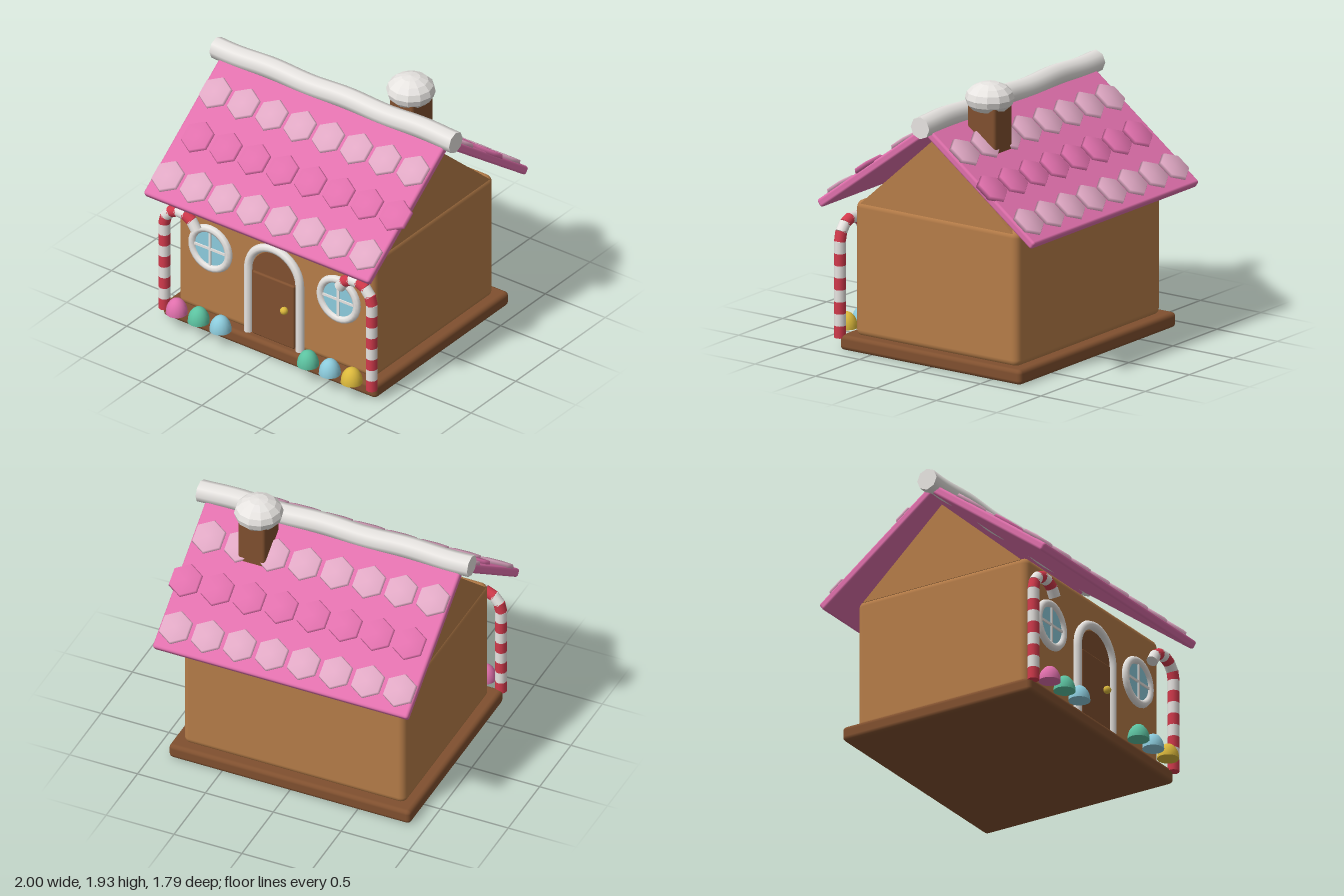
import * as THREE from 'three';
import { RoundedBoxGeometry } from 'three/addons/geometries/RoundedBoxGeometry.js';
import { mergeVertices } from 'three/addons/utils/BufferGeometryUtils.js';

const paint = (name, color) => {
  const m = new THREE.MeshStandardMaterial({ color });
  m.name = name;
  return m;
};

export function createModel() {
  const house = new THREE.Group();
  house.name = 'gingerbreadHouse';

  const gingerbread = paint('gingerbread', 0xb57c48);
  const chocolate = paint('chocolate', 0x80502f);
  const pink = paint('pink candy', 0xe070ac);
  const palePink = paint('pale pink candy', 0xe0a8c4);
  const icing = paint('white icing', 0xe8e5e2);
  const red = paint('red candy', 0xd23a4c);
  const green = paint('green candy', 0x5cc2a0);
  const blue = paint('blue candy', 0x8ccbdc);
  const gold = paint('gold candy', 0xdcb93c);

  const add = (name, geometry, material, x = 0, y = 0, z = 0, parent = house) => {
    const mesh = new THREE.Mesh(geometry, material);
    mesh.name = name;
    mesh.position.set(x, y, z);
    parent.add(mesh);
    return mesh;
  };
  const group = (name, x = 0, y = 0, z = 0) => {
    const g = new THREE.Group();
    g.name = name;
    g.position.set(x, y, z);
    house.add(g);
    return g;
  };

  // Base and walls
  add('base', new RoundedBoxGeometry(1.78, 0.105, 1.5, 2, 0.03), chocolate, 0, 0.0525, 0);
  add('walls', new RoundedBoxGeometry(1.64, 0.95, 1.35, 3, 0.05), gingerbread, 0, 0.565, 0);

  // Thin triangular gables at both ends
  const triangle = new THREE.Shape([[-0.63, 1.02], [0.63, 1.02], [0, 1.585]].map(p => new THREE.Vector2(...p)));
  const gableGeo = new THREE.ExtrudeGeometry(triangle, { depth: 0.05, bevelEnabled: false });
  gableGeo.translate(0, 0, -0.025).rotateY(Math.PI / 2);
  for (const s of [-1, 1]) add('gable', gableGeo, gingerbread, s * 0.79, 0, 0);

  // Roof slopes with three rows of hexagonal candy tiles
  let tileGeo = new THREE.CylinderGeometry(0.112, 0.123, 0.03, 6);
  tileGeo.deleteAttribute('normal');
  tileGeo.deleteAttribute('uv');
  tileGeo = mergeVertices(tileGeo);
  tileGeo.computeVertexNormals();
  const panelGeo = new RoundedBoxGeometry(1.88, 0.06, 1.1, 2, 0.018);
  for (const s of [-1, 1]) {
    const slope = group('roofSlope', 0, 1.33, s * 0.445);
    slope.rotation.x = s * 0.64;
    add('roofPanel', panelGeo, pink, 0, 0, 0, slope);
    [-0.28, 0.05, 0.38].forEach((z, row) => {
      for (let i = 0; i < 8; i++) {
        const x = -0.826 + i * 0.2357 + (row === 1 ? 0.05 : 0);
        add('roofTile', tileGeo, row === 1 ? pink : palePink, x, 0.038, s * z, slope);
      }
    });
  }

  // Wavy icing along the ridge
  const ridgeGeo = new THREE.CylinderGeometry(0.077, 0.077, 2, 8, 32);
  ridgeGeo.rotateZ(Math.PI / 2);
  const pos = ridgeGeo.attributes.position;
  for (let i = 0; i < pos.count; i++) {
    pos.setY(i, pos.getY(i) + 0.007 * Math.sin(pos.getX(i) * 10 + 0.6));
  }
  add('ridgeIcing', ridgeGeo, icing, 0, 1.7, 0);

  // Chimney with a snow cap
  add('chimney', new RoundedBoxGeometry(0.2, 0.6, 0.235, 2, 0.02), chocolate, 0.48, 1.49, -0.197);
  const capGeo = new THREE.SphereGeometry(0.167, 12, 8).toNonIndexed();
  capGeo.scale(1, 0.66, 1);
  capGeo.computeVertexNormals();
  add('chimneyCap', capGeo, icing, 0.478, 1.82, -0.197);

  // Arched door, icing trim and knob
  const arch = new THREE.Shape();
  arch.moveTo(-0.185, 0.105);
  arch.lineTo(0.185, 0.105);
  arch.lineTo(0.185, 0.6);
  arch.absarc(0, 0.6, 0.185, 0, Math.PI, false);
  add('doorArch', new THREE.ExtrudeGeometry(arch, { depth: 0.03, bevelEnabled: false, curveSegments: 16 }),
    chocolate, 0, 0, 0.66);
  add('door', new RoundedBoxGeometry(0.35, 0.495, 0.05, 2, 0.012), chocolate, 0, 0.352, 0.68);

  const trimPath = new THREE.CurvePath();
  const v = (x, y) => new THREE.Vector3(x, y, 0);
  const bend = [];
  for (let i = 0; i <= 12; i++) {
    const a = Math.PI * (1 - i / 12);
    bend.push(v(0.215 * Math.cos(a), 0.61 + 0.215 * Math.sin(a)));
  }
  trimPath.add(new THREE.LineCurve3(v(-0.215, 0.1), bend[0]));
  trimPath.add(new THREE.CatmullRomCurve3(bend));
  trimPath.add(new THREE.LineCurve3(bend[12], v(0.215, 0.1)));
  add('doorTrim', new THREE.TubeGeometry(trimPath, 48, 0.031, 8), icing, 0, 0, 0.69);
  add('doorKnob', new THREE.SphereGeometry(0.028, 12, 8), gold, 0.105, 0.395, 0.722);

  // Round windows with crossbars
  const glassGeo = new THREE.CylinderGeometry(0.15, 0.15, 0.02, 24);
  glassGeo.rotateX(Math.PI / 2);
  for (const s of [-1, 1]) {
    const win = group('window', s * 0.535, 0.63, 0.68);
    add('windowGlass', glassGeo, blue, 0, 0, 0, win);
    add('windowFrame', new THREE.TorusGeometry(0.152, 0.028, 8, 28), icing, 0, 0, 0.005, win);
    add('windowBar', new THREE.BoxGeometry(0.27, 0.018, 0.02), icing, 0, 0, 0.008, win);
    add('windowBar', new THREE.BoxGeometry(0.018, 0.27, 0.02), icing, 0, 0, 0.008, win);
  }

  // Striped candy canes hooking inwards
  const canePoints = [];
  for (let i = 0; i <= 8; i++) canePoints.push([0.865, 0.08 + i * 0.0838]);
  for (let i = 1; i <= 6; i++) {
    const a = (i / 6) * THREE.MathUtils.degToRad(160);
    canePoints.push([0.73 + 0.135 * Math.cos(a), 0.75 + 0.135 * Math.sin(a)]);
  }
  for (const s of [-1, 1]) {
    const cane = group('candyCane', 0, 0, 0.76);
    for (let i = 0; i < canePoints.length - 1; i++) {
      const a = v(s * canePoints[i][0], canePoints[i][1]);
      const b = v(s * canePoints[i + 1][0], canePoints[i + 1][1]);
      const length = a.distanceTo(b) + (i >= 8 ? 0.012 : 0);
      const stripe = add('caneStripe', new THREE.CylinderGeometry(0.04, 0.04, length, 12),
        i % 2 ? icing : red, (a.x + b.x) / 2, (a.y + b.y) / 2, 0, cane);
      stripe.quaternion.setFromUnitVectors(v(0, 1), b.sub(a).normalize());
    }
  }

  // Gumdrops along the front edge
  const dome = new THREE.SphereGeometry(0.075, 16, 8, 0, Math.PI * 2, 0, Math.PI / 2);
  dome.scale(1, 1.47, 1);
  const underside = new THREE.CircleGeometry(0.075, 16);
  underside.rotateX(Math.PI / 2);
  const drops = [[-0.73, pink], [-0.547, green], [-0.365, blue], [0.365, green], [0.547, blue], [0.73, gold]];
  for (const [x, material] of drops) {
    const drop = group('gumdrop', x, 0.11, 0.803);
    add('gumdropDome', dome, material, 0, 0, 0, drop);
    add('gumdropUnderside', underside, material, 0, 0, 0, drop);
  }

  return house;
}
